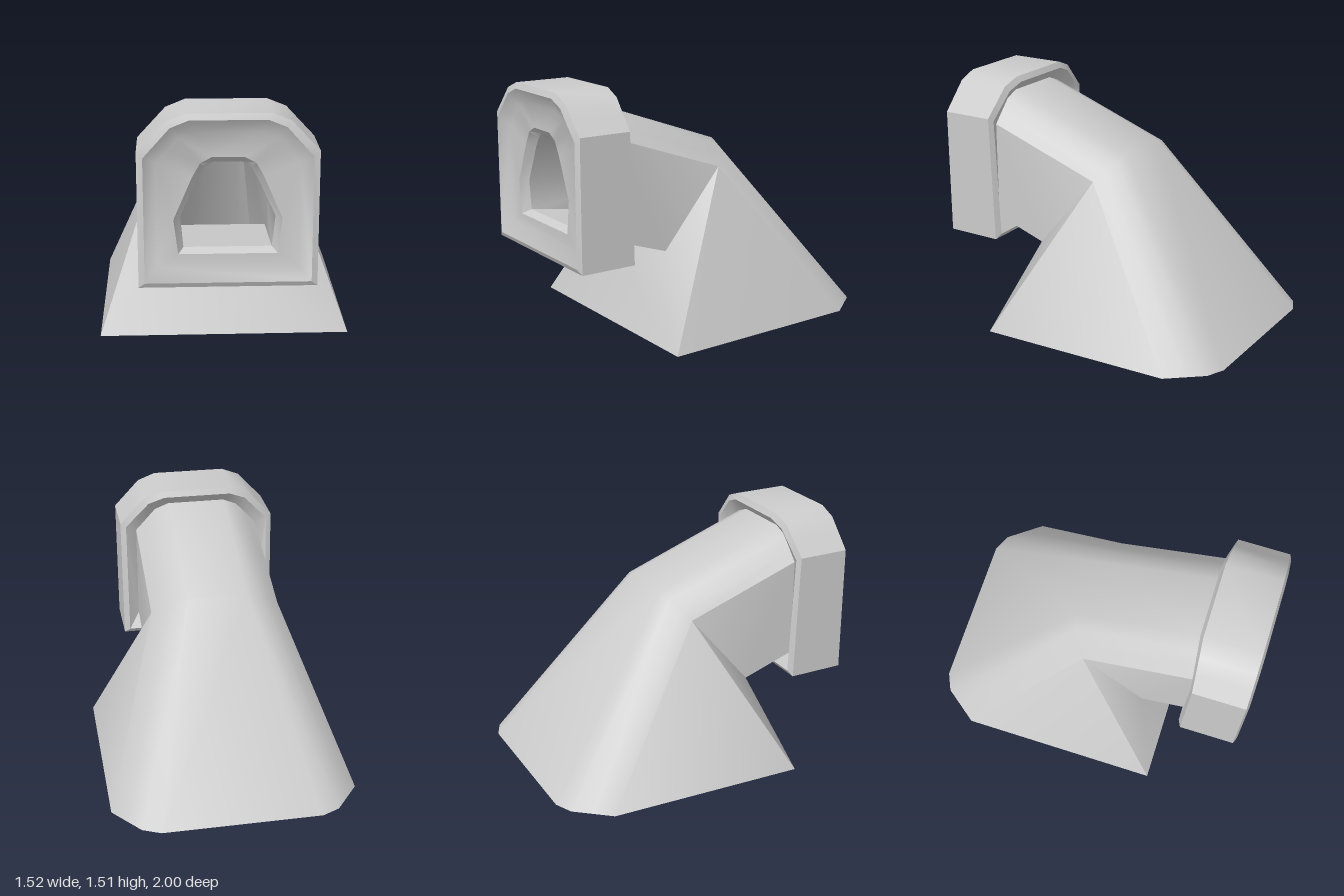
import * as THREE from 'three';
import { toCreasedNormals } from 'three/addons/utils/BufferGeometryUtils.js';

// Mirrors half a section (bottom corner up to the crown) into a full ring
const ring = (half) => [...half, ...half.map(([x, y, z]) => [-x, y, z]).reverse()];

// Adds a point halfway along the chamfer so every section has five points per half
const half = (corner, shoulder, chamfer, crown) =>
  [corner, shoulder, shoulder.map((v, i) => (v + chamfer[i]) / 2), chamfer, crown];

// Arched section in an upright plane; dz shifts the shoulders forward
const arch = (w, bottom, shoulder, top, z, dz = 0) => ring(half(
  [w, bottom, z],
  [w, shoulder, z + dz],
  [w * 0.68, shoulder + 0.8 * (top - shoulder), z + dz * 0.4],
  [w * 0.46, top, z]));

// Skins a row of rings, mirroring the quad diagonals left to right
function loft(name, rings, crease) {
  const pos = [];
  for (let r = 0; r < rings.length - 1; r++) {
    const a = rings[r], b = rings[r + 1], n = a.length;
    for (let i = 0; i < n; i++) {
      const j = (i + 1) % n;
      const tris = i < n / 2
        ? [a[i], a[j], b[j], a[i], b[j], b[i]]
        : [a[i], a[j], b[i], a[j], b[j], b[i]];
      tris.forEach((p) => pos.push(...p));
    }
  }
  const geo = new THREE.BufferGeometry();
  geo.setAttribute('position', new THREE.Float32BufferAttribute(pos, 3));
  const mesh = new THREE.Mesh(
    toCreasedNormals(geo, THREE.MathUtils.degToRad(crease)),
    new THREE.MeshStandardMaterial({ color: 0xcccccc }));
  mesh.name = name;
  return mesh;
}

export function createModel() {
  const group = new THREE.Group();
  group.name = 'ventDuct';

  // Outer shell sections: flared foot, bend and neck
  const foot = ring(half([0.76, 0, 0.51], [0.76, 0.025, -0.74], [0.6, 0.03, -0.95], [0.49, 0.03, -1]));
  const bend = ring(half([0.4, 0.52, 0.35], [0.4, 0.99, -0.04], [0.27, 1.09, -0.13], [0.18, 1.12, -0.15]));
  const neck = arch(0.4, 0.63, 1.24, 1.415, 0.68);

  // Inner passage sections
  const mouth = ring([[0.25, 0.72, 0.9], [0.27, 0.9, 0.9], [0.17, 1.12, 0.9], [0.13, 1.19, 0.9], [0.08, 1.22, 0.9]]);
  const innerBend = ring([[0.26, 0.62, 0.24], [0.28, 0.8, 0.09], [0.19, 0.98, -0.05], [0.14, 1.02, -0.09], [0.09, 1.04, -0.11]]);
  const outlet = ring([[0.48, 0.004, 0.32], [0.525, 0.012, -0.08], [0.36, 0.019, -0.455], [0.25, 0.022, -0.58], [0.15, 0.023, -0.65]]);

  // Face plate sections
  const plate = arch(0.4, 0.62, 1.23, 1.4, 0.95);
  const lip = ring([[0.28, 0.695, 0.95], [0.305, 0.9, 0.95], [0.2, 1.145, 0.95], [0.155, 1.225, 0.95], [0.09, 1.26, 0.95]]);
  const frontRim = arch(0.47, 0.54, 1.27, 1.48, 1);

  group.add(
    loft('ductShell', [foot, bend, neck], 40),
    // Collar with bevelled rims front and back
    loft('collar', [
      neck,
      arch(0.47, 0.54, 1.28, 1.48, 0.615, 0.03),
      arch(0.505, 0.51, 1.3, 1.515, 0.635, 0.025),
      arch(0.505, 0.51, 1.3, 1.515, 0.985),
      frontRim,
    ], 30),
    loft('facePlate', [frontRim, plate, lip, mouth], 50),
    loft('innerPassage', [mouth, innerBend, outlet], 40),
    loft('baseRim', [outlet, foot], 30));
  return group;
}
